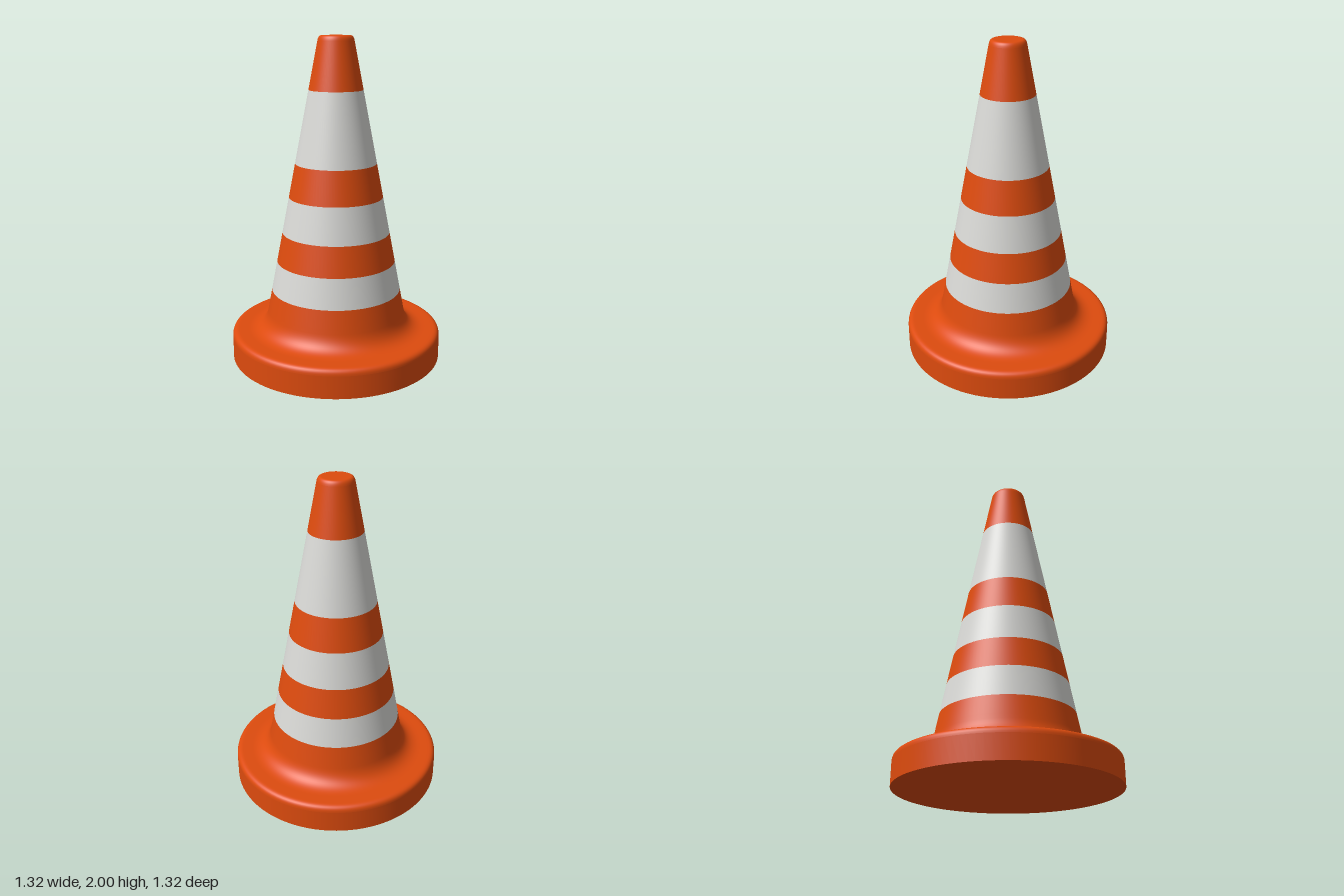
import * as THREE from 'three';

const SEGMENTS = 96;

// Radius of the tapering cone wall at height y
const coneRadius = (y) => 0.488 - 0.192 * y;

export function createModel() {
  const group = new THREE.Group();
  const orange = new THREE.MeshStandardMaterial({ color: 0xdd4b0e });
  orange.name = 'orange';
  const white = new THREE.MeshStandardMaterial({ color: 0xd9d9d6 });
  white.name = 'white';

  const add = (name, geometry, material) => {
    const mesh = new THREE.Mesh(geometry, material);
    mesh.name = name;
    group.add(mesh);
    return mesh;
  };
  const lathe = (name, points, material) =>
    add(name, new THREE.LatheGeometry(points, SEGMENTS), material);
  const v = (x, y) => new THREE.Vector2(x, y);
  const bend = (a, b, c, n = 8) => new THREE.QuadraticBezierCurve(a, b, c).getPoints(n);

  // Round base: underside, straight wall, rounded rim and flared foot
  add('baseUnderside', new THREE.CircleGeometry(0.66, SEGMENTS), orange).rotation.x = Math.PI / 2;
  lathe('baseWall', [v(0.66, 0), v(0.66, 0.14)], orange);
  lathe('baseRim', [
    ...bend(v(0.66, 0.14), v(0.66, 0.18), v(0.62, 0.18)),
    v(0.6, 0.18),
  ], orange);
  lathe('flaredFoot', [
    v(0.6, 0.18),
    ...bend(v(0.56, 0.18), v(coneRadius(0.18), 0.18), v(coneRadius(0.29), 0.29), 14),
    v(coneRadius(0.32), 0.32),
  ], orange);

  // Alternating coloured bands up the cone
  const heights = [0.32, 0.43, 0.615, 0.8, 1.025, 1.235, 1.68, 1.97];
  for (let i = 0; i < heights.length - 1; i++) {
    const [low, high] = [heights[i], heights[i + 1]];
    const isWhite = i % 2 === 1;
    lathe(isWhite ? 'whiteBand' : 'orangeBand',
      [v(coneRadius(low), low), v(coneRadius(high), high)], isWhite ? white : orange);
  }

  // Softly rounded tip with a flat cap
  lathe('tipEdge', bend(v(coneRadius(1.97), 1.97), v(coneRadius(2), 2), v(0.085, 2)), orange);
  const cap = add('tipCap', new THREE.CircleGeometry(0.085, SEGMENTS), orange);
  cap.rotation.x = -Math.PI / 2;
  cap.position.y = 2;

  return group;
}
